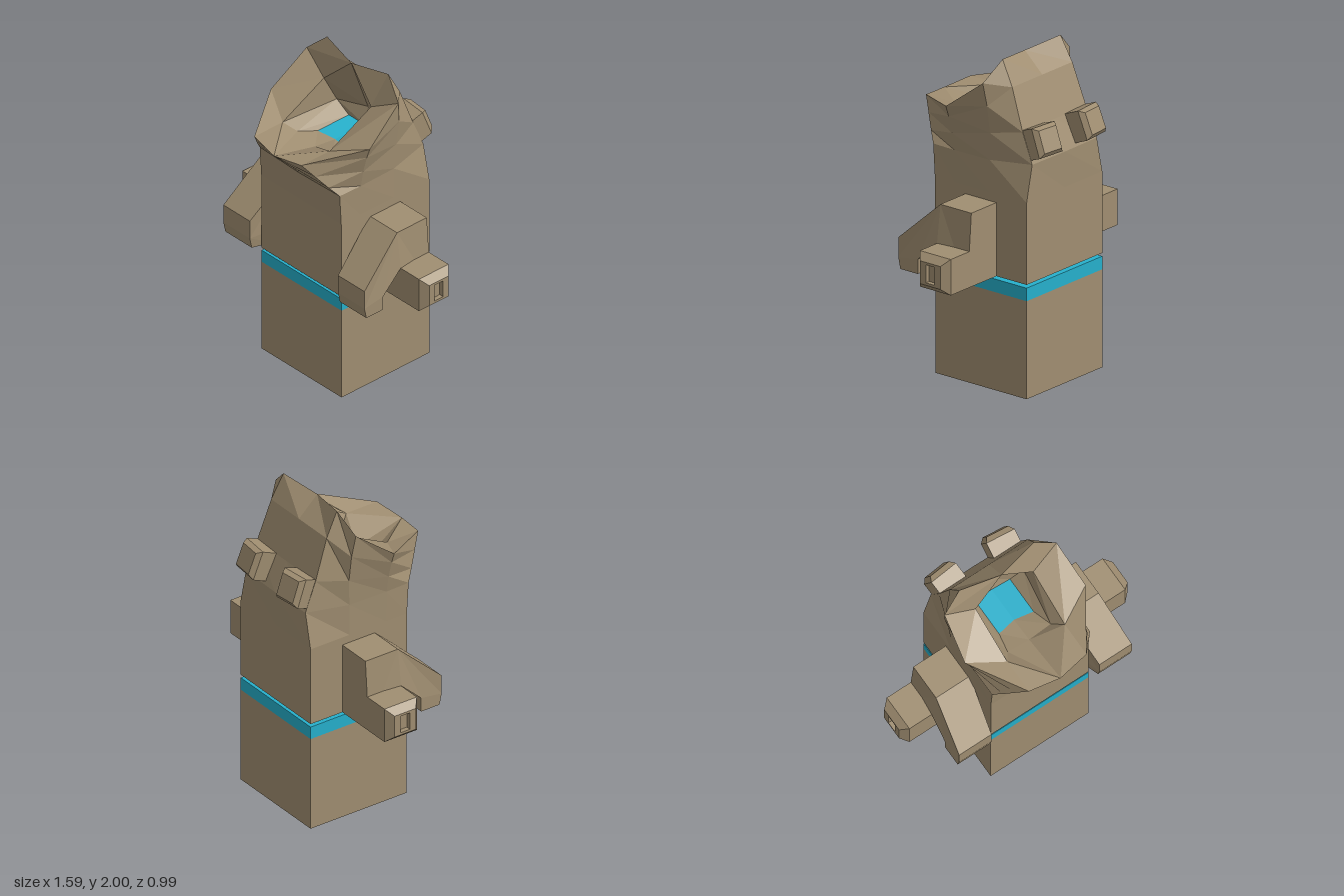
import * as THREE from 'three';

const tan = new THREE.MeshStandardMaterial({ color: 0xa08e71, flatShading: true, side: THREE.DoubleSide });
const blue = new THREE.MeshStandardMaterial({ color: 0x26b0cc, flatShading: true, side: THREE.DoubleSide });

function mesh(name, geometry, material = tan) {
  const m = new THREE.Mesh(geometry, material);
  m.name = name;
  return m;
}

// Flat-faced geometry from polygons (each a fan of corner points)
function polygons(list) {
  const pos = [];
  for (const p of list)
    for (let i = 1; i < p.length - 1; i++) pos.push(...p[0], ...p[i], ...p[i + 1]);
  const g = new THREE.BufferGeometry();
  g.setAttribute('position', new THREE.Float32BufferAttribute(pos, 3));
  g.computeVertexNormals();
  return g;
}

// Adds the mirror image across x = 0 with reversed winding
function mirrored(list) {
  const flip = p => p.map(([x, y, z]) => [-x, y, z]).reverse();
  return [...list, ...list.map(flip)];
}

// Quads between two rows of points
function strip(top, bottom) {
  return top.slice(1).map((p, j) => [p, bottom[j + 1], bottom[j], top[j]]);
}

// Rectangular cross-sections [halfWidth, halfHeight, distance] joined along z
function rectLoft(sections) {
  const rings = sections.map(([w, h, d]) => [[-w, -h, d], [w, -h, d], [w, h, d], [-w, h, d]]);
  const faces = [[...rings[0]].reverse(), rings[rings.length - 1]];
  for (let k = 1; k < rings.length; k++)
    for (let i = 0; i < 4; i++) {
      const n = (i + 1) % 4;
      faces.push([rings[k - 1][i], rings[k - 1][n], rings[k][n], rings[k][i]]);
    }
  return polygons(faces);
}

function block(name, y0, y1, material) {
  const m = mesh(name, new THREE.BoxGeometry(0.68, y1 - y0, 0.68), material);
  m.position.set(0, (y0 + y1) / 2, -0.065);
  return m;
}

function createBody() {
  const group = new THREE.Group();
  group.name = 'body';

  // Half outlines from back centre round to front centre, top to bottom
  const rim = [[0, 1.97, -0.11], [0.26, 2, -0.16], [0.39, 1.88, -0.12], [0.42, 1.69, 0.13], [0.2, 1.62, 0.46], [0, 1.6, 0.49]];
  const rows = [
    rim,
    [[0, 1.85, -0.24], [0.27, 1.85, -0.24], [0.375, 1.74, -0.14], [0.395, 1.62, 0.13], [0.25, 1.54, 0.4], [0, 1.53, 0.42]],
    [[0, 1.6, -0.33], [0.285, 1.6, -0.33], [0.35, 1.57, -0.14], [0.365, 1.51, 0.13], [0.3, 1.46, 0.34], [0, 1.46, 0.35]],
    [[0, 1.42, -0.41], [0.29, 1.42, -0.405], [0.34, 1.4, -0.13], [0.345, 1.4, 0.13], [0.34, 1.4, 0.29], [0, 1.39, 0.29]],
    ...[1.2, 0.7].map(y => [[0, y, -0.405], [0.34, y, -0.405], [0.34, y, -0.13], [0.34, y, 0.13], [0.34, y, 0.278], [0, y, 0.278]]),
  ];
  const shell = [];
  for (let i = 1; i < rows.length; i++) shell.push(...strip(rows[i - 1], rows[i]));
  shell.push([[0, 0.7, -0.405], [0.34, 0.7, -0.405], [0.34, 0.7, 0.278], [0, 0.7, 0.278]]);
  group.add(mesh('shell', polygons(mirrored(shell))));

  // Sloping band round the opening
  const [o0, o1, o2, o3, o4, o5] = rim;
  const a1 = [0.2, 1.78, -0.08], a2 = [0.2, 1.62, 0.24];
  group.add(mesh('rim', polygons(mirrored([
    [a1, o2, o1, o0], [a2, o3, o2, a1], [a2, o4, o3], [a2, o5, o4],
  ]))));

  // Hollow behind the rim, with a coloured panel in its floor
  const inner = [o0, a1, a2, o5];
  const floor = [[0, 1.61, -0.24], [0.2, 1.59, -0.18], [0.15, 1.55, 0.17], [0, 1.52, 0.17]];
  const panel = [[0, 1.5, -0.21], [0.12, 1.51, -0.2], [0.12, 1.51, 0.04], [0, 1.5, 0.015]];
  const hollow = [...strip(inner, floor), ...strip(floor, panel)].map(p => p.reverse());
  group.add(mesh('hollow', polygons(mirrored(hollow))));
  group.add(mesh('floorPanel', polygons(mirrored([[...panel].reverse()])), blue));
  return group;
}

function createSide() {
  const group = new THREE.Group();

  // Shoulder with a forward strut: side profile as [z, y]
  const profile = [[-0.18, 0.7], [-0.18, 1.15], [0.05, 1.15], [0.335, 0.89], [0.335, 0.77],
    [0.32, 0.7], [0.19, 0.7], [0.19, 0.79], [0.05, 0.92], [0.05, 0.7]];
  const shape = new THREE.Shape(profile.map(([z, y]) => new THREE.Vector2(-z, y)));
  const arm = new THREE.ExtrudeGeometry(shape, { depth: 0.27, bevelEnabled: false });
  arm.rotateY(Math.PI / 2).translate(0.33, 0, 0);
  const p = arm.attributes.position;
  for (let i = 0; i < p.count; i++) {
    if (p.getX(i) > 0.45) p.setX(i, 0.6 - 0.035 * THREE.MathUtils.clamp((p.getY(i) - 0.89) / 0.26, 0, 1));
    else if (p.getZ(i) > 0.28) p.setX(i, 0.375);
  }
  arm.computeVertexNormals();
  group.add(mesh('shoulder', arm));

  // Outward forearm with a bevelled end and a slot
  const forearm = mesh('forearm', rectLoft([
    [0.115, 0.11, 0.5], [0.115, 0.11, 0.75], [0.075, 0.07, 0.795], [0.033, 0.055, 0.795], [0.033, 0.055, 0.765],
  ]));
  forearm.rotation.y = Math.PI / 2;
  forearm.position.set(0, 0.81, -0.065);
  group.add(forearm);

  // Tilted bevelled knob on the back
  const knob = mesh('backKnob', rectLoft([[0.092, 0.09, -0.05], [0.092, 0.09, 0.06], [0.07, 0.068, 0.09]]));
  knob.rotation.order = 'YXZ';
  knob.rotation.set(-0.37, Math.PI - 0.1, 0);
  knob.position.set(0.195, 1.533, -0.385);
  group.add(knob);
  return group;
}

export function createModel() {
  const model = new THREE.Group();
  model.name = 'figure';
  model.add(block('base', 0, 0.6, tan), block('band', 0.6, 0.68, blue), createBody());

  for (const [name, sign] of [['leftSide', 1], ['rightSide', -1]]) {
    const side = createSide();
    side.name = name;
    side.scale.x = sign;
    model.add(side);
  }
  return model;
}
